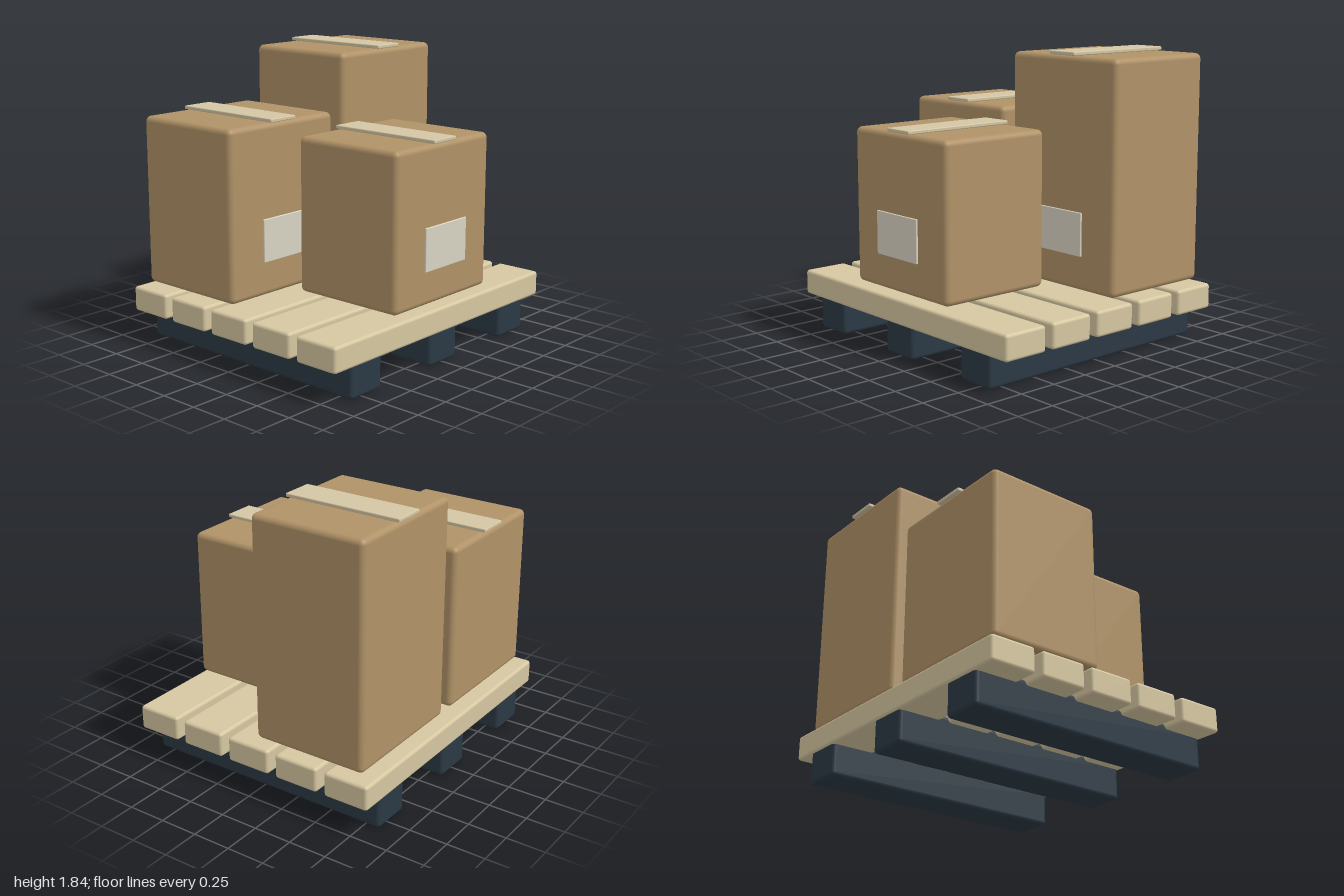
import * as THREE from 'three';
import { RoundedBoxGeometry } from 'three/addons/geometries/RoundedBoxGeometry.js';

const material = (color) => new THREE.MeshStandardMaterial({ color });

// Rounded block given by its extents along x, y and z
function block(name, [x0, x1], [y0, y1], [z0, z1], radius, mat) {
  const geometry = new RoundedBoxGeometry(x1 - x0, y1 - y0, z1 - z0, 3, radius);
  const mesh = new THREE.Mesh(geometry, mat);
  mesh.name = name;
  mesh.position.set((x0 + x1) / 2, (y0 + y1) / 2, (z0 + z1) / 2);
  return mesh;
}

const around = (centre, size) => [centre - size / 2, centre + size / 2];

export function createModel() {
  const model = new THREE.Group();
  model.name = 'loadedPallet';

  const wood = material(0xd6c7a1);
  const skidPaint = material(0x2b3944);
  const cardboard = material(0xb09267);
  const tapeMat = material(0xd4c6a4);
  const paper = material(0xd9d4c2);

  // Pallet: three skids running front to back, five slats across
  const pallet = new THREE.Group();
  pallet.name = 'pallet';
  for (const x of [-0.715, 0, 0.715]) {
    pallet.add(block('skid', around(x, 0.265), [0, 0.235], [-0.85, 0.85], 0.025, skidPaint));
  }
  for (let i = -2; i <= 2; i++) {
    pallet.add(block('slat', [-1, 1], [0.2, 0.36], around(i * 0.356, 0.302), 0.02, wood));
  }
  model.add(pallet);

  // Cartons, each with a tape strip on top and a label on the front
  const bottom = 0.39;
  const cartons = [
    { name: 'rightCarton', x: -0.485, z: -0.41, top: 1.457 },
    { name: 'leftCarton', x: 0.5, z: -0.41, top: 1.815 },
    { name: 'frontCarton', x: 0, z: 0.448, top: 1.368 },
  ];
  for (const { name, x, z, top } of cartons) {
    const carton = new THREE.Group();
    carton.name = name;
    carton.add(block('cartonBody', around(x, 0.89), [bottom, top], around(z, 0.768), 0.035, cardboard));
    carton.add(block('tape', around(x, 0.21), [top, top + 0.023], around(z, 0.778), 0.006, tapeMat));
    carton.add(block('label', around(x, 0.39), [0.61, 0.88], around(z + 0.402, 0.014), 0.004, paper));
    model.add(carton);
  }

  return model;
}
